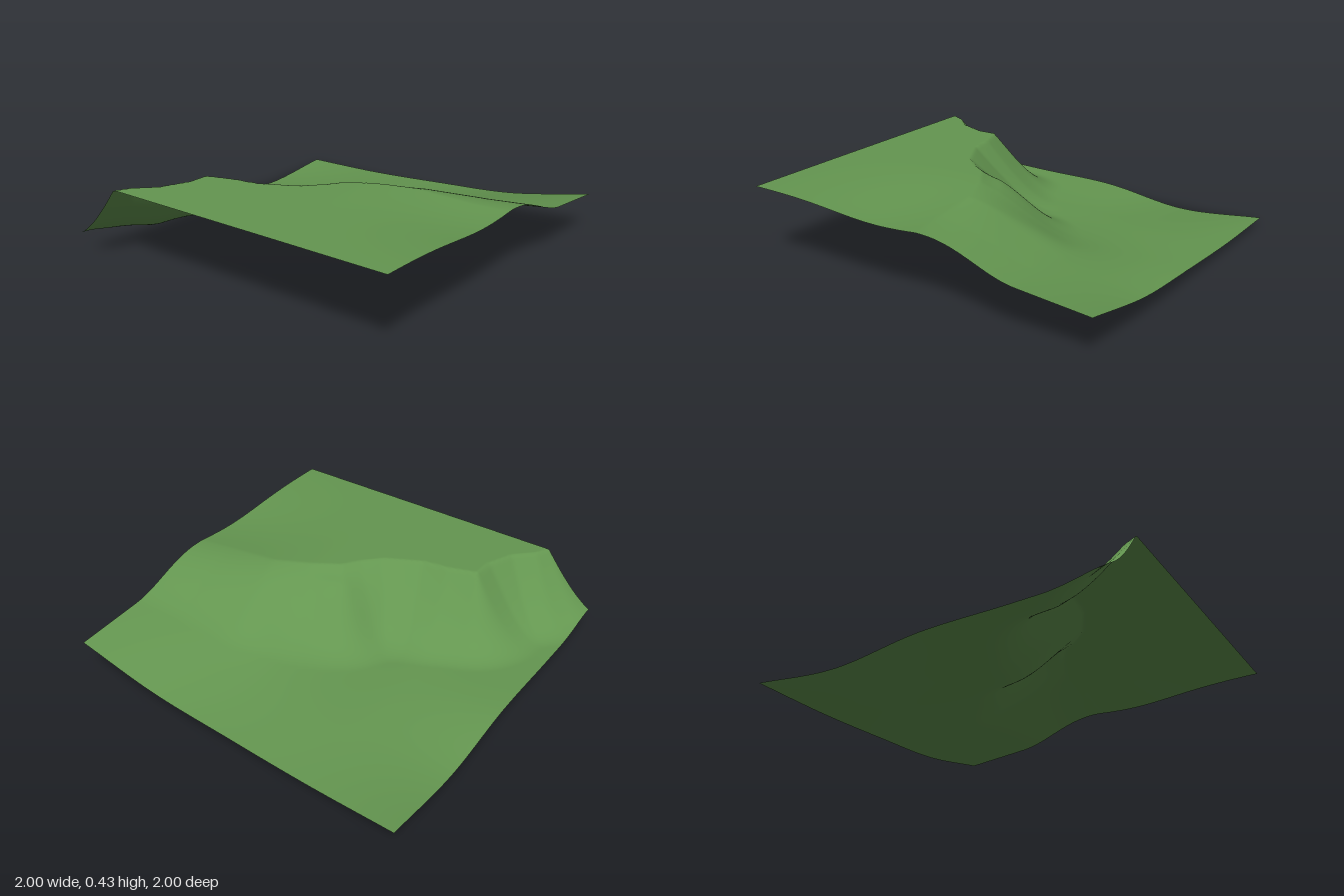
import * as THREE from 'three';

// Cliff edge of the plateau as [x, z], closed off beyond the sheet's border
const RIDGE = [[-0.74, 1.4], [-0.71, 1], [-0.67, 0.92], [-0.57, 0.82], [-0.51, 0.67], [-0.5, 0.54],
  [-0.35, 0.49], [-0.2, 0.465], [0, 0.36], [0.09, 0.26], [0.15, 0.17], [0.3, 0.08],
  [0.5, 0], [0.8, -0.02], [1, -0.05], [1.5, -0.1]];
const OUTLINE = [...RIDGE, [1.5, 2], [-0.74, 2]];

// Heights of the low ground: rows z = -1 ... 1, columns x = -1 ... 1
const LOW = [
  [0.04, 0.05, 0.08, 0.12, 0.22],
  [0.0, 0.06, 0.11, 0.21, 0.27],
  [0.065, 0.07, 0.11, 0.28, 0.33],
  [0.075, 0.07, 0.1, 0.3, 0.35],
  [0.09, 0.08, 0.1, 0.3, 0.35],
];

const { clamp, lerp, smoothstep } = THREE.MathUtils;

// Smooth curve through five evenly spaced values
function spline(v, u) {
  const i = Math.min(3, Math.floor(u)), t = u - i;
  const b = v[i], c = v[i + 1];
  const a = i > 0 ? v[i - 1] : 2 * b - c, d = i < 3 ? v[i + 2] : 2 * c - b;
  return b + 0.5 * t * (c - a + t * (2 * a - 5 * b + 4 * c - d + t * (3 * (b - c) + d - a)));
}

function lowGround(x, z) {
  const u = clamp((x + 1) * 2, 0, 4), w = clamp((z + 1) * 2, 0, 4);
  return spline(LOW.map((row) => spline(row, u)), w);
}

function ridgeDistance(x, z) {
  let best = Infinity;
  for (let i = 0; i + 1 < RIDGE.length; i++) {
    const [ax, az] = RIDGE[i], [bx, bz] = RIDGE[i + 1];
    const ex = bx - ax, ez = bz - az;
    const t = clamp(((x - ax) * ex + (z - az) * ez) / (ex * ex + ez * ez), 0, 1);
    best = Math.min(best, Math.hypot(x - ax - ex * t, z - az - ez * t));
  }
  return best;
}

function onPlateau(x, z) {
  let inside = false;
  OUTLINE.forEach(([ax, az], i) => {
    const [bx, bz] = OUTLINE[(i + 1) % OUTLINE.length];
    if ((az > z) !== (bz > z) && x < ax + ((bx - ax) * (z - az)) / (bz - az)) inside = !inside;
  });
  return inside;
}

const bump = (x, z, cx, cz, r) => Math.exp(-((x - cx) ** 2 + (z - cz) ** 2) / (r * r));

function height(x, z) {
  // Nearly level top, dipping slightly towards the right-hand border
  const top = 0.432 - 0.045 * smoothstep(x, 0.2, 1) * Math.exp(-(((z - 0.18) / 0.4) ** 2));
  if (onPlateau(x, z)) return top;
  // Concave slope with a rounded shoulder, fading into the low ground
  const d = ridgeDistance(x, z);
  const t = clamp(d / lerp(0.42, 0.55, smoothstep(x, -0.7, 0)), 0, 1);
  const fall = lerp((1 - t) ** 2, smoothstep(1 - t, 0, 1), lerp(0.2, 0.7, smoothstep(x, 0, 1)));
  const low = lowGround(x, z);
  // Spurs and gullies running down the slope
  const fade = smoothstep(d, 0, 0.12);
  const relief = 0.035 * bump(x, z, 0.06, 0.02, 0.16) - 0.02 * bump(x, z, -0.16, 0.12, 0.13)
    + 0.012 * bump(x, z, 0.35, -0.36, 0.15);
  return low + (top - low) * fall + relief * fade;
}

export function createModel() {
  const group = new THREE.Group();
  group.name = 'terrain';
  const grass = new THREE.MeshStandardMaterial({ color: 0x649650, side: THREE.DoubleSide });
  grass.name = 'grass green';

  // Hillside sheet
  const geometry = new THREE.PlaneGeometry(2, 2, 140, 140).rotateX(-Math.PI / 2);
  const p = geometry.attributes.position;
  for (let i = 0; i < p.count; i++) p.setY(i, Math.max(0, height(p.getX(i), p.getZ(i))));
  geometry.computeVertexNormals();
  const ground = new THREE.Mesh(geometry, grass);
  ground.name = 'hillside';
  group.add(ground);
  return group;
}
